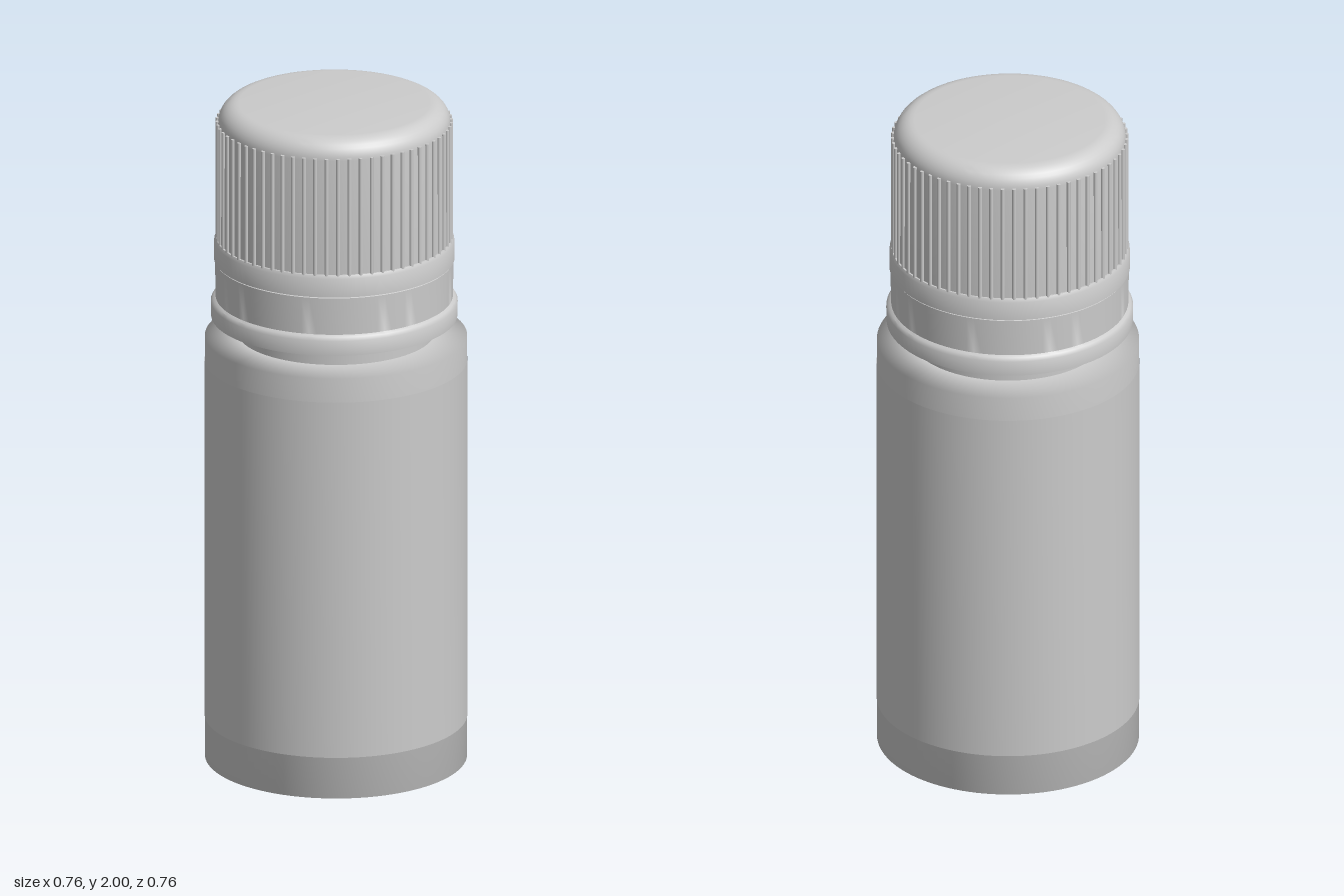
import * as THREE from 'three';
import { toCreasedNormals, mergeGeometries } from 'three/addons/utils/BufferGeometryUtils.js';

const SEGMENTS = 96;
const material = new THREE.MeshStandardMaterial({ color: 0xcccccc });

// Turned part from [radius, height] pairs, listed from the bottom up
function turned(name, profile, creased = true, mat = material) {
  let geometry = new THREE.LatheGeometry(profile.map(([r, y]) => new THREE.Vector2(r, y)), SEGMENTS);
  if (creased) geometry = toCreasedNormals(geometry, 0.6);
  const mesh = new THREE.Mesh(geometry, mat);
  mesh.name = name;
  return mesh;
}

export function createModel() {
  const model = new THREE.Group();
  model.name = 'bottle';

  // Straight body with softly shaded ends
  model.add(turned('body', [[0, 0], [0.379, 0], [0.379, 1.288], [0.285, 1.297]], false));

  // Wrap-around label, a hair proud of the body
  const labelMaterial = new THREE.MeshStandardMaterial({ color: 0xcccccc, side: THREE.DoubleSide });
  model.add(turned('label', [[0.38, 0.125], [0.38, 1.215]], true, labelMaterial));

  // Neck
  model.add(turned('neck', [[0.285, 1.28], [0.285, 1.37]]));

  // Closure sits very slightly off the body's axis
  const closure = new THREE.Group();
  closure.name = 'closure';
  closure.position.set(-0.004, 0, -0.003);
  model.add(closure);

  // Tamper ring with its lip, and the band above it
  closure.add(turned('tamperRing', [
    [0.27, 1.35], [0.356, 1.35], [0.357, 1.395], [0.351, 1.405],
    [0.343, 1.41], [0.345, 1.522], [0.335, 1.526],
  ]));
  closure.add(turned('capBand', [[0.33, 1.526], [0.348, 1.526], [0.347, 1.582], [0.342, 1.592], [0.33, 1.592]]));

  // Cap with a rounded top edge
  const capProfile = [[0.337, 1.58], [0.336, 1.94]];
  for (let i = 1; i <= 8; i++) {
    const a = (i / 8) * Math.PI / 2;
    capProfile.push([0.276 + 0.06 * Math.cos(a), 1.94 + 0.06 * Math.sin(a)]);
  }
  capProfile.push([0, 2]);
  closure.add(turned('cap', capProfile));

  // Grip ribs around the cap
  const RIBS = 64;
  const ribs = [];
  for (let i = 0; i < RIBS; i++) {
    const a = ((i + 0.5) / RIBS) * Math.PI * 2;
    const rib = new THREE.CylinderGeometry(0.006, 0.006, 0.358, 10);
    rib.translate(Math.sin(a) * 0.338, 1.768, Math.cos(a) * 0.338);
    ribs.push(rib);
  }
  const grip = new THREE.Mesh(mergeGeometries(ribs), material);
  grip.name = 'gripRibs';
  closure.add(grip);

  return model;
}
